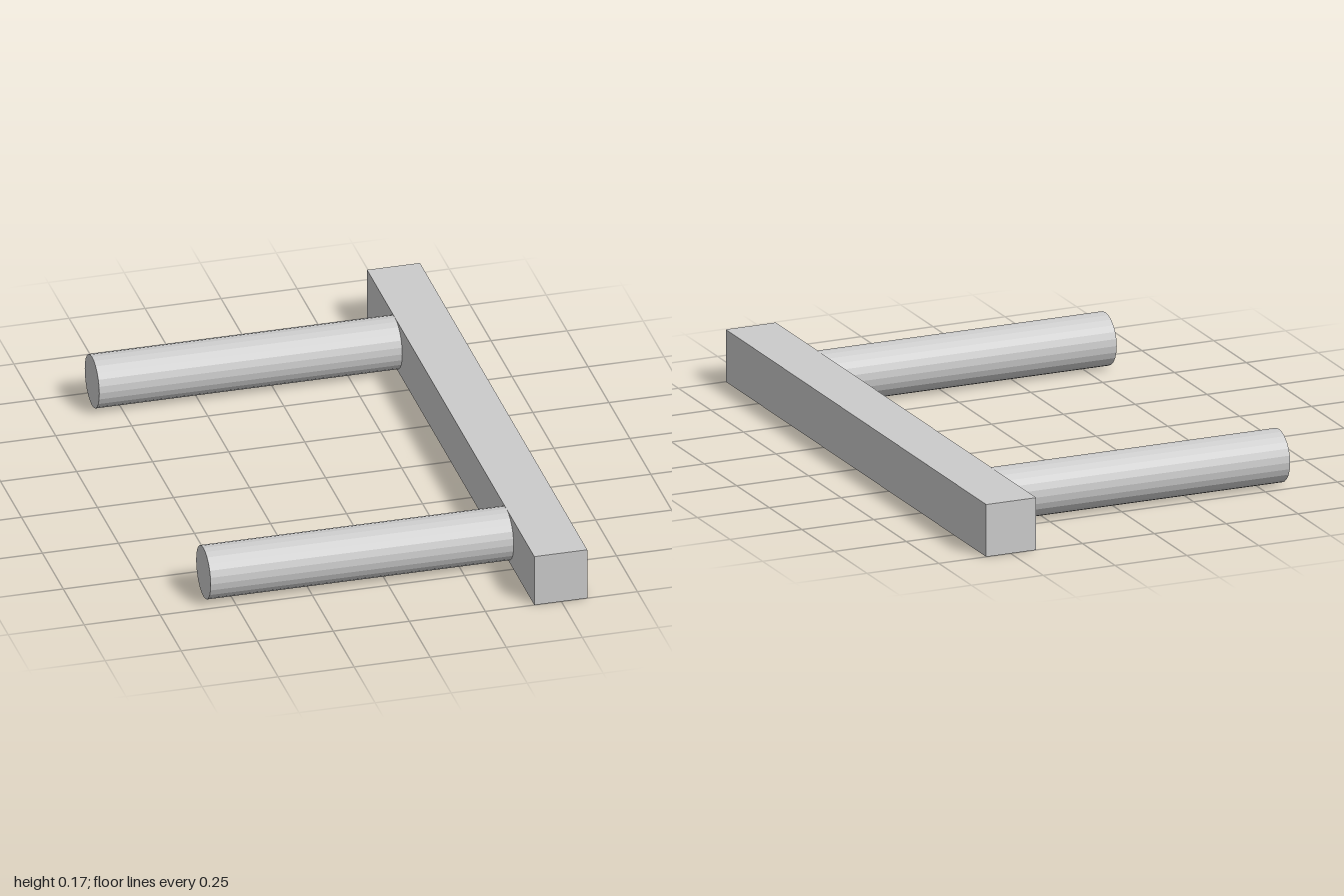
import * as THREE from 'three';

export function createModel() {
  const group = new THREE.Group();
  const material = new THREE.MeshStandardMaterial({ color: 0xcccccc, flatShading: true });
  const thickness = 0.174, halfWidth = 0.585;
  const barInner = halfWidth - thickness;

  // Square bar running front to back
  const bar = new THREE.Mesh(new THREE.BoxGeometry(thickness, thickness, 2), material);
  bar.name = 'bar';
  bar.position.set(halfWidth - thickness / 2, thickness / 2, 0);
  group.add(bar);

  // Two round pegs reaching out from the bar's inner face
  const length = barInner + halfWidth;
  const pegGeometry = new THREE.CylinderGeometry(thickness / 2, thickness / 2, length, 24);
  pegGeometry.rotateZ(Math.PI / 2);
  for (const [name, z] of [['frontPeg', 0.666], ['backPeg', -0.666]]) {
    const peg = new THREE.Mesh(pegGeometry, material);
    peg.name = name;
    peg.position.set(barInner - length / 2, thickness / 2, z);
    group.add(peg);
  }
  return group;
}
